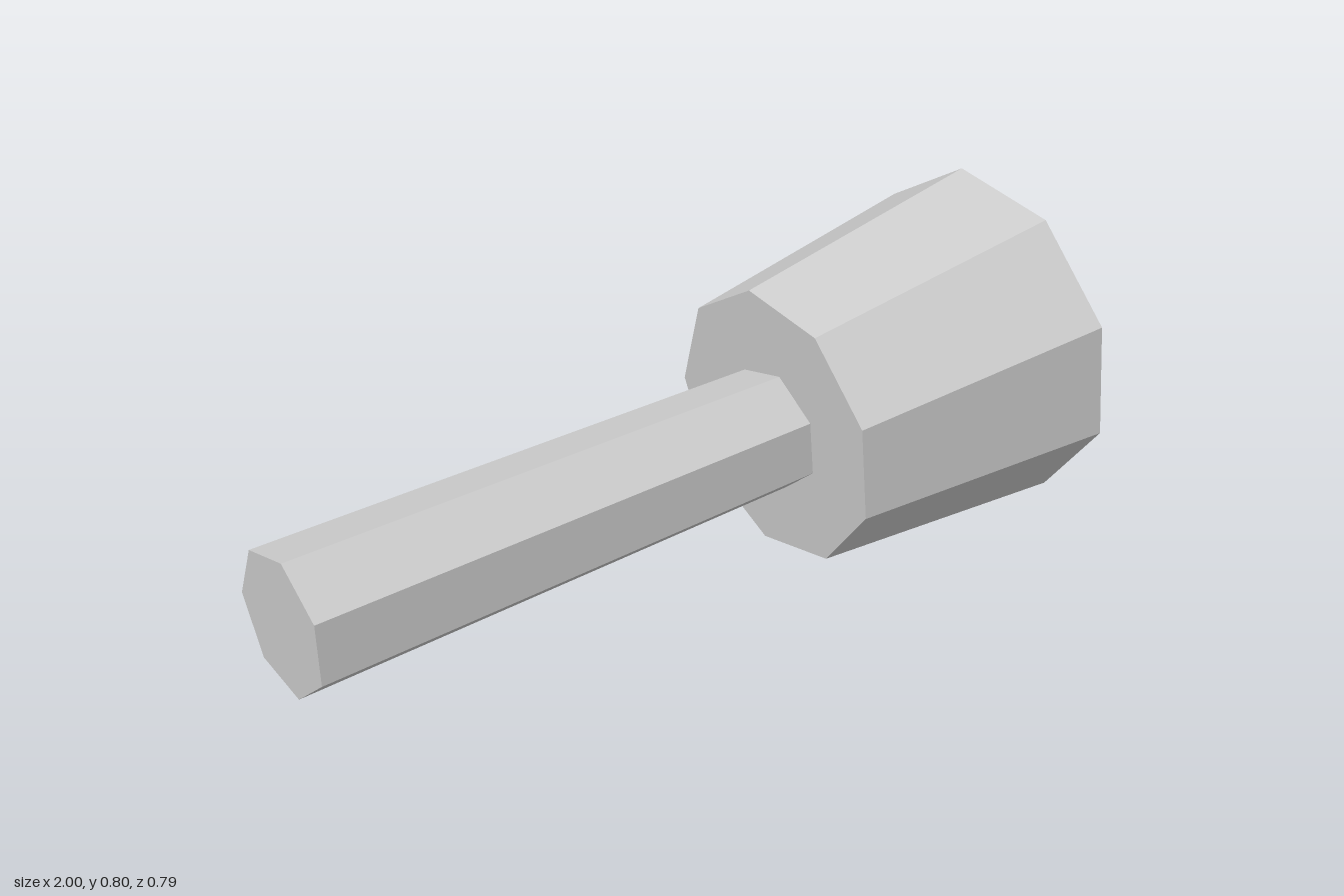
import * as THREE from 'three';

// Faceted, capped frustum from one point to another in the plane z = 0.01,
// turned so that one corner points to -z.
function taperedPrism(name, from, to, r0, r1, sides, material) {
  const a = new THREE.Vector3(...from, 0.01);
  const b = new THREE.Vector3(...to, 0.01);
  const geometry = new THREE.CylinderGeometry(r1, r0, a.distanceTo(b), sides, 1, false, Math.PI);
  const mesh = new THREE.Mesh(geometry, material);
  mesh.name = name;
  mesh.position.copy(a).lerp(b, 0.5);
  mesh.rotation.z = Math.atan2(b.y - a.y, b.x - a.x) - Math.PI / 2;
  return mesh;
}

export function createModel() {
  const grey = new THREE.MeshStandardMaterial({ color: 0xcccccc, flatShading: true });
  grey.name = 'light grey';

  const model = new THREE.Group();
  model.name = 'mallet';

  // Seven-sided handle, slightly thinner where it enters the head
  model.add(taperedPrism('handle', [-0.992, 0.279], [0.32, 0.336], 0.165, 0.149, 7, grey));

  // Nine-sided head, widening toward its far end
  model.add(taperedPrism('head', [0.29, 0.34], [0.96, 0.405], 0.332, 0.409, 9, grey));

  return model;
}
